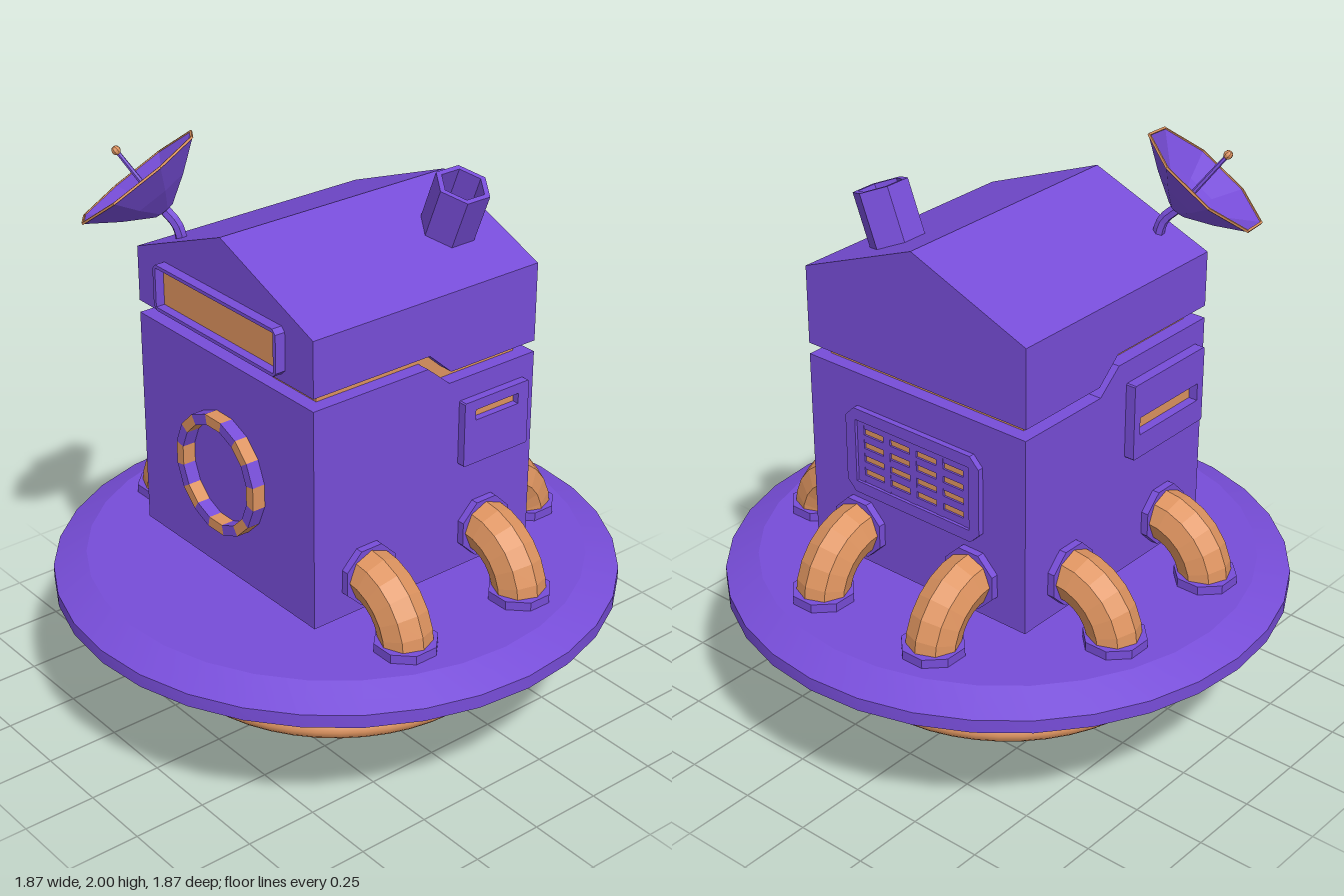
import * as THREE from 'three';
import { toCreasedNormals } from 'three/addons/utils/BufferGeometryUtils.js';

const material = (color, flatShading) => new THREE.MeshStandardMaterial({ color, flatShading, side: THREE.DoubleSide });
const purple = material(0x774dd8, true);
const purpleSmooth = material(0x774dd8, false);
const orange = material(0xdd935f, true);
const orangeSmooth = material(0xdd935f, false);

const add = (parent, name, geo, mat, x = 0, y = 0, z = 0) => {
  const m = new THREE.Mesh(geo, mat);
  m.name = name;
  m.position.set(x, y, z);
  parent.add(m);
  return m;
};
const group = (parent, name) => {
  const g = new THREE.Group();
  g.name = name;
  parent.add(g);
  return g;
};
const poly = (pts) => new THREE.Shape(pts.map(([x, y]) => new THREE.Vector2(x, y)));
const lathe = (pts, n) => new THREE.LatheGeometry(pts.map(([x, y]) => new THREE.Vector2(x, y)), n);
const roundLathe = (pts) => toCreasedNormals(lathe(pts, 32), 0.28);
const extrude = (shape, depth) => new THREE.ExtrudeGeometry(shape, { depth, bevelEnabled: false });
const box = (w, h, d) => new THREE.BoxGeometry(w, h, d);

// Chamfered plate with a rectangular opening, lying on z = 0 and facing +z
function frame(w, h, depth, c, hole) {
  const a = w / 2, b = h / 2;
  const s = poly([[-a + c, -b], [a - c, -b], [a, -b + c], [a, b - c], [a - c, b], [-a + c, b], [-a, b - c], [-a, -b + c]]);
  const [x0, y0, x1, y1] = hole;
  s.holes.push(poly([[x0, y0], [x0, y1], [x1, y1], [x1, y0]]));
  return extrude(s, depth);
}

function addPanel(parent, name, w, h, depth, c, hole) {
  const g = group(parent, name);
  add(g, 'panelFrame', frame(w, h, depth, c, hole), purple);
  const [x0, y0, x1, y1] = hole;
  add(g, 'panelInset', box(x1 - x0, y1 - y0, 0.004), orange, (x0 + x1) / 2, (y0 + y1) / 2, 0.002);
  return g;
}

function addSaucer(root) {
  const g = group(root, 'saucerBase');
  add(g, 'saucer', roundLathe([[0, 0.326], [0.43, 0.326], [0.935, 0.492], [0.935, 0.537], [0.825, 0.586], [0, 0.586]]), purpleSmooth);
  // Stepped stack below the hull, narrowing downwards
  add(g, 'undersidePlate', roundLathe([[0, 0.32], [0.435, 0.32], [0.46, 0.333]]), orangeSmooth);
  add(g, 'undersideCollar', roundLathe([[0.34, 0.266], [0.355, 0.266], [0.425, 0.32]]), purpleSmooth);
  add(g, 'undersideBand', roundLathe([[0.23, 0.266], [0.34, 0.266]]), orangeSmooth);
  add(g, 'undersideStep', roundLathe([[0.165, 0.24], [0.205, 0.24], [0.235, 0.266]]), purpleSmooth);
  add(g, 'undersideInnerBand', roundLathe([[0, 0.242], [0.166, 0.242]]), orangeSmooth);
  add(g, 'undersideHub', new THREE.CylinderGeometry(0.085, 0.08, 0.02, 24), purpleSmooth, 0, 0.235);
  // Floating thrust rings, shrinking downwards
  for (const [r, t, y] of [[0.563, 0.037, 0.23], [0.415, 0.026, 0.114], [0.267, 0.018, 0.018]]) {
    add(g, 'hoverRing', new THREE.TorusGeometry(r, t, 12, 48).rotateX(Math.PI / 2), orangeSmooth, 0, y);
  }
}

function addHouse(root) {
  const g = group(root, 'house');
  const W = 0.442;
  // Side profiles (first coordinate is -z) split by a stepped slit
  const across = (pts) => extrude(poly(pts), 2 * W).rotateY(Math.PI / 2).translate(-W, 0, 0);
  add(g, 'lowerWalls', across([[-W, 0.637], [W, 0.637], [W, 1.312], [0.088, 1.312], [0, 1.387], [-W, 1.387]]), purple);
  add(g, 'upperWalls', across([[-W, 1.429], [0.006, 1.429], [0.094, 1.35], [W, 1.35], [W, 1.615], [-W, 1.615]]), purple);
  add(g, 'slitCore', box(0.79, 0.3, 0.79), orange, 0, 1.38, 0);
  add(g, 'gableRoof', extrude(poly([[-W, 1.615], [W, 1.615], [0, 1.79]]), 2 * W).translate(0, 0, -W), purple);

  // Front sign panel
  addPanel(g, 'frontSign', 0.62, 0.155, 0.035, 0.015, [-0.297, -0.066, 0.297, 0.066]).position.set(0, 1.533, W);

  // Front porthole ring of alternating blocks
  const ring = group(g, 'portholeRing');
  ring.position.set(0, 1, W);
  const step = Math.PI / 8;
  for (let i = 0; i < 16; i++) {
    const a = (i - 0.5) * step, b = a + step;
    const at = (r, t) => [r * Math.cos(t), r * Math.sin(t)];
    add(ring, 'ringBlock', extrude(poly([at(0.168, a), at(0.203, a), at(0.203, b), at(0.168, b)]), 0.045), i % 2 ? purple : orange);
  }

  // Slotted side panels
  const left = addPanel(g, 'leftSlotPanel', 0.268, 0.222, 0.028, 0.004, [-0.088, 0.041, 0.09, 0.077]);
  left.position.set(W, 1.126, -0.265);
  left.rotation.y = Math.PI / 2;
  const right = addPanel(g, 'rightSlotPanel', 0.36, 0.26, 0.035, 0.004, [-0.15, -0.05, 0.15, 0.01]);
  right.position.set(-W, 1.181, 0.22);
  right.rotation.y = -Math.PI / 2;

  // Back grille
  const grille = addPanel(g, 'backGrille', 0.55, 0.3, 0.02, 0.035, [-0.235, -0.11, 0.235, 0.11]);
  grille.position.set(0, 1.047, -W);
  grille.rotation.y = Math.PI;
  for (let i = -2; i <= 2; i++) {
    add(grille, 'grilleUpright', box(0.028, 0.22, 0.01), purple, i * 0.11, 0, 0.006);
    add(grille, 'grilleBar', box(0.47, 0.026, 0.01), purple, 0, i * 0.048, 0.0055);
  }
}

// Elbow pipe leaving a wall towards local +x and bending down to the saucer
function addPipe(root, x, z, turn) {
  const g = group(root, 'elbowPipe');
  g.position.set(x, 0.59, z);
  g.rotation.y = turn;
  add(g, 'pipe', new THREE.TorusGeometry(0.178, 0.087, 8, 6, Math.PI / 2), orange, 0.015, 0, 0);
  const flange = () => new THREE.CylinderGeometry(0.104, 0.104, 0.03, 8).rotateY(Math.PI / 8);
  add(g, 'saucerFlange', flange(), purple, 0.193, 0.012, 0);
  add(g, 'wallFlange', flange().rotateZ(Math.PI / 2), purple, 0.012, 0.176, 0);
}

function addDish(root) {
  const g = group(root, 'dishAntenna');
  const dish = group(g, 'dish');
  dish.position.set(-0.42, 1.851, 0.443);
  const n = new THREE.Vector3(-0.5, 0.78, 0.38).normalize();
  dish.quaternion.setFromUnitVectors(new THREE.Vector3(0, 1, 0), n);
  dish.rotateY(-0.12);
  add(dish, 'dishBowl', lathe([[0, -0.135], [0.035, -0.13], [0.13, -0.072], [0.23, 0], [0.224, 0.001], [0.122, -0.062], [0, -0.118]], 8), purple);
  add(dish, 'dishRim', lathe([[0.224, -0.002], [0.232, -0.002], [0.232, 0.005], [0.224, 0.005], [0.224, -0.002]], 8), orange);
  add(dish, 'feedRod', new THREE.CylinderGeometry(0.007, 0.009, 0.22, 6), purple, 0, -0.01, 0);
  add(dish, 'feedTip', new THREE.SphereGeometry(0.015, 8, 6), orange, 0, 0.105, 0);
  const path = new THREE.CatmullRomCurve3([
    new THREE.Vector3(-0.355, 1.755, 0.395), new THREE.Vector3(-0.315, 1.71, 0.375), new THREE.Vector3(-0.3, 1.64, 0.365),
  ]);
  add(g, 'dishStem', new THREE.TubeGeometry(path, 6, 0.019, 6), purple);
}

export function createModel() {
  const root = new THREE.Group();
  root.name = 'hoveringHouse';
  addSaucer(root);
  addHouse(root);
  for (const s of [-1, 1]) {
    addPipe(root, 0.44, s * 0.237, 0);
    addPipe(root, -0.44, s * 0.237, Math.PI);
    addPipe(root, s * 0.235, -0.44, Math.PI / 2);
  }
  addDish(root);
  // Hollow hexagonal chimney standing square to the roof slope
  const chimney = add(root, 'chimney', lathe([[0.091, -0.24], [0.091, 0], [0.072, 0], [0.072, -0.14], [0, -0.14]], 6), purple, 0.284, 1.868, -0.265);
  chimney.rotation.z = -0.38;
  return root;
}
